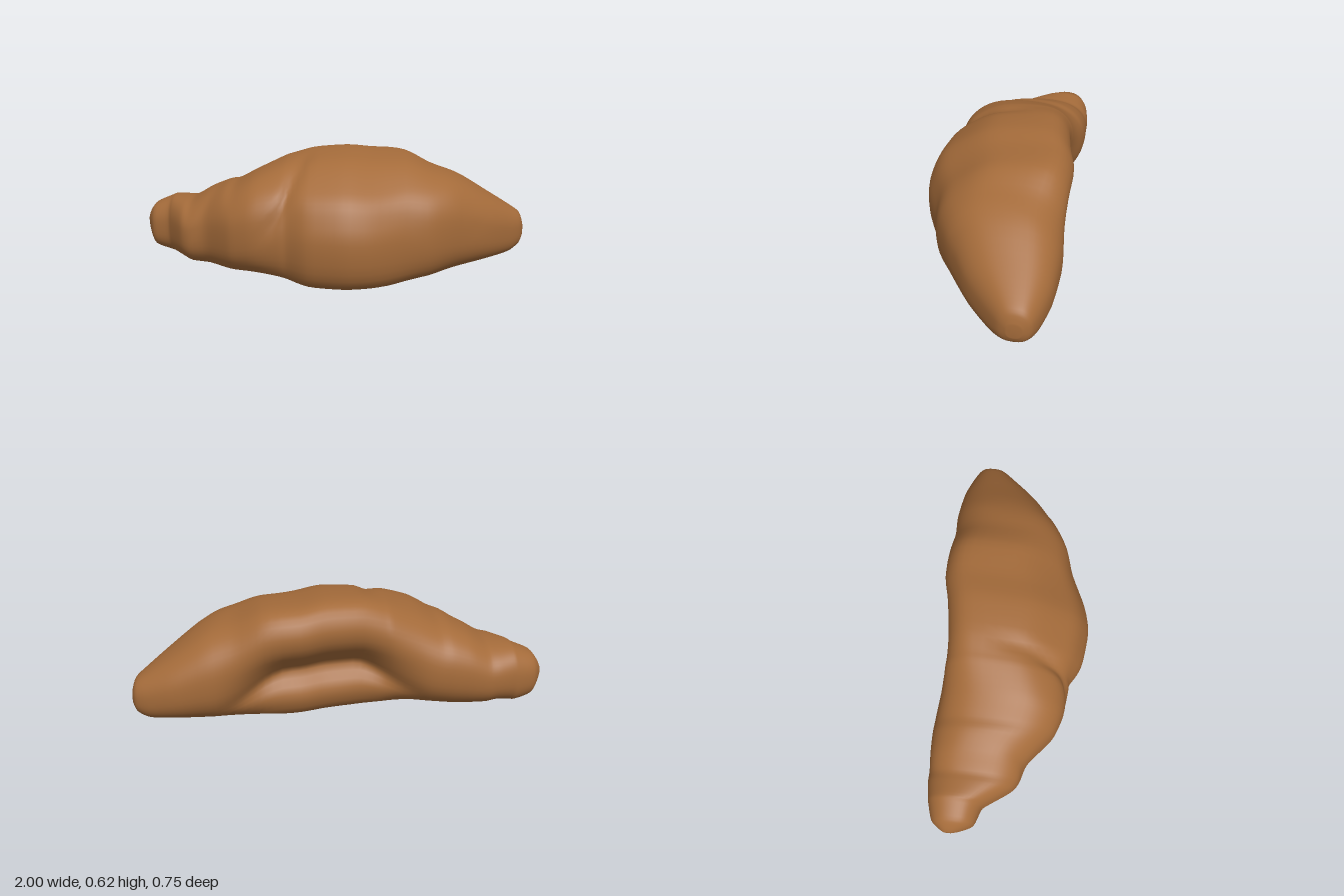
import * as THREE from 'three';

// Stations along the roll: x, back z, front z, bottom y, top y
const STATIONS = [
  [-1, -0.24, -0.2, 0.18, 0.22], [-0.985, -0.265, -0.16, 0.13, 0.255],
  [-0.95, -0.305, -0.1, 0.075, 0.3], [-0.87, -0.33, -0.07, 0.05, 0.335],
  [-0.84, -0.335, -0.035, 0.05, 0.348], [-0.77, -0.345, 0.065, 0.045, 0.352],
  [-0.72, -0.345, 0.1, 0.03, 0.357], [-0.63, -0.35, 0.13, 0.025, 0.41],
  [-0.54, -0.35, 0.205, 0.02, 0.45], [-0.48, -0.345, 0.25, 0.02, 0.465],
  [-0.38, -0.335, 0.285, 0.02, 0.52], [-0.25, -0.33, 0.3, 0.015, 0.575],
  [-0.2, -0.325, 0.305, 0.01, 0.588], [-0.1, -0.325, 0.355, 0.005, 0.61],
  [0.07, -0.35, 0.375, 0, 0.62], [0.2, -0.38, 0.35, 0, 0.605],
  [0.37, -0.38, 0.275, 0.005, 0.595], [0.5, -0.375, 0.235, 0.01, 0.54],
  [0.64, -0.375, 0.15, 0.03, 0.49], [0.8, -0.36, 0.035, 0.05, 0.388],
  [0.92, -0.325, -0.08, 0.065, 0.31], [0.98, -0.295, -0.145, 0.1, 0.265],
  [1, -0.255, -0.19, 0.14, 0.21],
];

// Middle cross-section (back-to-front, bottom-to-top, both 0..1) with the hollow at the back
const MIDDLE = [
  [0.9, 0.01], [0.985, 0.16], [1, 0.4], [0.96, 0.57], [0.9, 0.7], [0.8, 0.8],
  [0.62, 0.93], [0.45, 0.98], [0.2, 1], [0.08, 0.95], [0.02, 0.82], [0.05, 0.67],
  [0.16, 0.53], [0.22, 0.43], [0.12, 0.28], [0.17, 0.09], [0.36, 0], [0.7, 0],
];

// Rounded cross-section for the horns, squarer at the lower front
const HORN = MIDDLE.map((_, i) => {
  const angle = THREE.MathUtils.degToRad(-50 + 20 * i);
  const c = Math.cos(angle), s = Math.sin(angle);
  const power = c > 0 && s < 0 ? 0.7 : 0.85;
  const bulge = (v) => 0.5 + 0.5 * Math.sign(v) * Math.pow(Math.abs(v), power);
  return [bulge(c), bulge(s)];
});

const AROUND = 54;
const STEPS = 4;

// Even samples of a closed smooth loop
function sampleLoop(points) {
  const curve = new THREE.CatmullRomCurve3(
    points.map(([a, b]) => new THREE.Vector3(a, b, 0)), true, 'catmullrom', 0.5);
  return Array.from({ length: AROUND }, (_, j) => curve.getPoint(j / AROUND));
}

// Smooth in-between stations
function sampleStations() {
  const rows = [];
  const last = STATIONS.length - 1;
  for (let i = 0; i < last; i++) {
    const p = [i - 1, i, i + 1, i + 2].map((k) => STATIONS[THREE.MathUtils.clamp(k, 0, last)]);
    for (let s = 0; s < STEPS; s++) {
      const t = s / STEPS;
      rows.push(p[1].map((v, k) => {
        const m0 = (p[2][k] - p[0][k]) * 0.4;
        const m1 = (p[3][k] - v) * 0.4;
        const t2 = t * t, t3 = t2 * t;
        return (2 * t3 - 3 * t2 + 1) * v + (t3 - 2 * t2 + t) * m0
          + (3 * t2 - 2 * t3) * p[2][k] + (t3 - t2) * m1;
      }));
    }
  }
  rows.push(STATIONS[last]);
  return rows;
}

// Slanted fold lines on the crust: x, slant, depth
const FOLDS = [[-0.24, 0.3, 0.025], [-0.66, 0.2, 0.01], [0.7, -0.2, 0.008]];

function foldPinch(x, a, b) {
  const upperFront = THREE.MathUtils.smoothstep(b, 0.4, 0.6) * THREE.MathUtils.smoothstep(a, 0.25, 0.55);
  return FOLDS.reduce((sum, [fx, slant, depth]) => {
    const d = (x - fx - slant * (b - 0.65)) / 0.035;
    return sum + depth * Math.exp(-d * d) * upperFront;
  }, 0);
}

function rollGeometry() {
  const middle = sampleLoop(MIDDLE);
  const horn = sampleLoop(HORN);
  const rows = sampleStations();
  const positions = [];
  const index = [];
  const ss = THREE.MathUtils.smoothstep;

  for (const [x, z0, z1, y0, y1] of rows) {
    const w = ss(x, -0.45, -0.06) * (1 - ss(x, 0.25, 0.65));
    for (let j = 0; j < AROUND; j++) {
      let a = THREE.MathUtils.lerp(horn[j].x, middle[j].x, w);
      let b = THREE.MathUtils.lerp(horn[j].y, middle[j].y, w);
      const pinch = foldPinch(x, a, b);
      a += (0.5 - a) * pinch * 2;
      b += (0.5 - b) * pinch * 2;
      positions.push(x, y0 + (y1 - y0) * b, z0 + (z1 - z0) * a);
    }
  }

  // Skin between neighbouring cross-sections
  for (let i = 0; i < rows.length - 1; i++) {
    for (let j = 0; j < AROUND; j++) {
      const k = (j + 1) % AROUND;
      const p = i * AROUND, q = p + AROUND;
      index.push(p + j, q + j, q + k, p + j, q + k, p + k);
    }
  }

  // Closed tips
  for (const end of [0, rows.length - 1]) {
    const [x, z0, z1, y0, y1] = rows[end];
    const centre = positions.length / 3;
    positions.push(x, (y0 + y1) / 2, (z0 + z1) / 2);
    for (let j = 0; j < AROUND; j++) {
      const p = end * AROUND + j, q = end * AROUND + (j + 1) % AROUND;
      if (end === 0) index.push(centre, p, q);
      else index.push(centre, q, p);
    }
  }

  const geometry = new THREE.BufferGeometry();
  geometry.setAttribute('position', new THREE.Float32BufferAttribute(positions, 3));
  geometry.setIndex(index);
  geometry.computeVertexNormals();
  return geometry;
}

export function createModel() {
  const group = new THREE.Group();
  group.name = 'croissant';
  const crust = new THREE.MeshStandardMaterial({ color: 0xa46b3a });
  crust.name = 'baked crust brown';
  const roll = new THREE.Mesh(rollGeometry(), crust);
  roll.name = 'crescentRoll';
  group.add(roll);
  return group;
}
